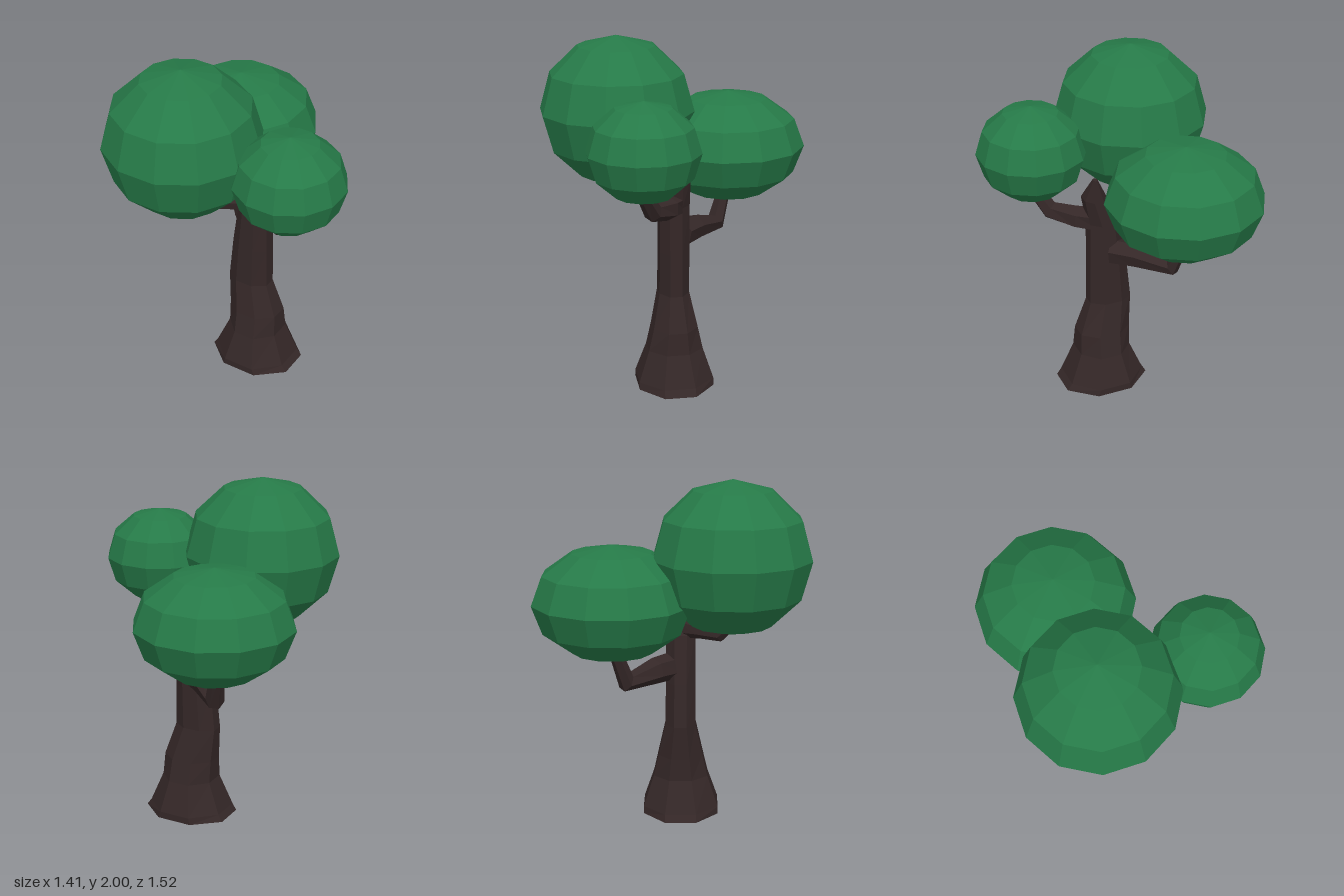
import * as THREE from 'three';

const UP = new THREE.Vector3(0, 1, 0);

// Faceted skin over rings: { c: centre, rx, rz, q: orientation }, capped at both ends
function loft(rings, sides) {
  const pts = rings.map(({ c, rx, rz, q }) =>
    Array.from({ length: sides }, (_, j) => {
      const a = ((j + 0.5) / sides) * Math.PI * 2;
      return new THREE.Vector3(rx * Math.cos(a), 0, rz * Math.sin(a)).applyQuaternion(q).add(c);
    }));
  const pos = [];
  const tri = (...vs) => vs.forEach((v) => pos.push(v.x, v.y, v.z));
  const last = rings.length - 1;
  for (let j = 0; j < sides; j++) {
    const k = (j + 1) % sides;
    for (let i = 0; i < last; i++) {
      tri(pts[i][j], pts[i + 1][j], pts[i][k]);
      tri(pts[i][k], pts[i + 1][j], pts[i + 1][k]);
    }
    tri(rings[0].c, pts[0][j], pts[0][k]);
    tri(rings[last].c, pts[last][k], pts[last][j]);
  }
  const g = new THREE.BufferGeometry();
  g.setAttribute('position', new THREE.Float32BufferAttribute(pos, 3));
  g.computeVertexNormals();
  return g;
}

// Branch: round rings turned to follow the path; each point is [x, y, z, radius]
function branchGeometry(path) {
  const ps = path.map(([x, y, z]) => new THREE.Vector3(x, y, z));
  const rings = path.map((p, i) => {
    const dir = ps[Math.min(i + 1, ps.length - 1)].clone().sub(ps[Math.max(i - 1, 0)]).normalize();
    return { c: ps[i], rx: p[3], rz: p[3], q: new THREE.Quaternion().setFromUnitVectors(UP, dir) };
  });
  return loft(rings, 6);
}

export function createModel() {
  const tree = new THREE.Group();
  tree.name = 'tree';
  const bark = new THREE.MeshStandardMaterial({ color: 0x342727, flatShading: true });
  bark.name = 'bark';
  const leaf = new THREE.MeshStandardMaterial({ color: 0x267a48, flatShading: true });
  leaf.name = 'leaf green';

  const add = (name, geometry, material) => {
    const mesh = new THREE.Mesh(geometry, material);
    mesh.name = name;
    tree.add(mesh);
    return mesh;
  };

  // Trunk: flared foot, slight sway, pointed top; rows are y, x, z, half width, half depth
  const trunkRows = [
    [0, 0.075, 0.047, 0.255, 0.217],
    [0.04, 0.073, 0.047, 0.228, 0.217],
    [0.22, 0.075, 0.046, 0.155, 0.157],
    [0.35, 0.07, 0.045, 0.152, 0.128],
    [0.55, 0.029, 0.045, 0.126, 0.086],
    [0.8, 0.041, 0.045, 0.112, 0.085],
    [1.08, 0.06, 0.045, 0.092, 0.085],
    [1.24, 0.115, 0.042, 0.066, 0.08],
    [1.38, 0.13, -0.015, 0.012, 0.018],
  ];
  const flat = Math.cos(Math.PI / 8);
  add('trunk', loft(trunkRows.map(([y, x, z, w, d]) => ({
    c: new THREE.Vector3(x, y, z), rx: w / flat, rz: d / flat, q: new THREE.Quaternion(),
  })), 8), bark);

  // Branches reaching into the leaf clusters
  add('leftBranch', branchGeometry([
    [0.06, 1.09, 0.04, 0.085], [0.2, 1.1, 0.1, 0.07],
    [0.32, 1.12, 0.2, 0.055], [0.395, 1.24, 0.26, 0.04],
  ]), bark);
  add('backBranch', branchGeometry([
    [0.02, 0.89, 0.0, 0.08], [-0.09, 0.89, -0.1, 0.075],
    [-0.24, 0.865, -0.255, 0.055], [-0.285, 1.06, -0.315, 0.037],
  ]), bark);
  add('frontBranch', branchGeometry([
    [0.05, 1.11, 0.06, 0.06], [-0.07, 1.12, 0.16, 0.045],
    [-0.19, 1.125, 0.27, 0.035], [-0.23, 1.18, 0.32, 0.025],
  ]), bark);

  // Leaf clusters: faceted spheres; rows are name, position, radius, half height
  const clusters = [
    ['frontLeaves', [-0.23, 1.57, 0.327], 0.446, 0.43],
    ['backLeaves', [-0.272, 1.33, -0.327], 0.448, 0.32],
    ['leftLeaves', [0.4, 1.483, 0.26], 0.314, 0.278],
  ];
  for (const [name, position, radius, half] of clusters) {
    const g = new THREE.SphereGeometry(1, 12, 6).rotateY(Math.PI / 12);
    g.scale(radius, half, radius);
    add(name, g, leaf).position.set(...position);
  }
  return tree;
}
